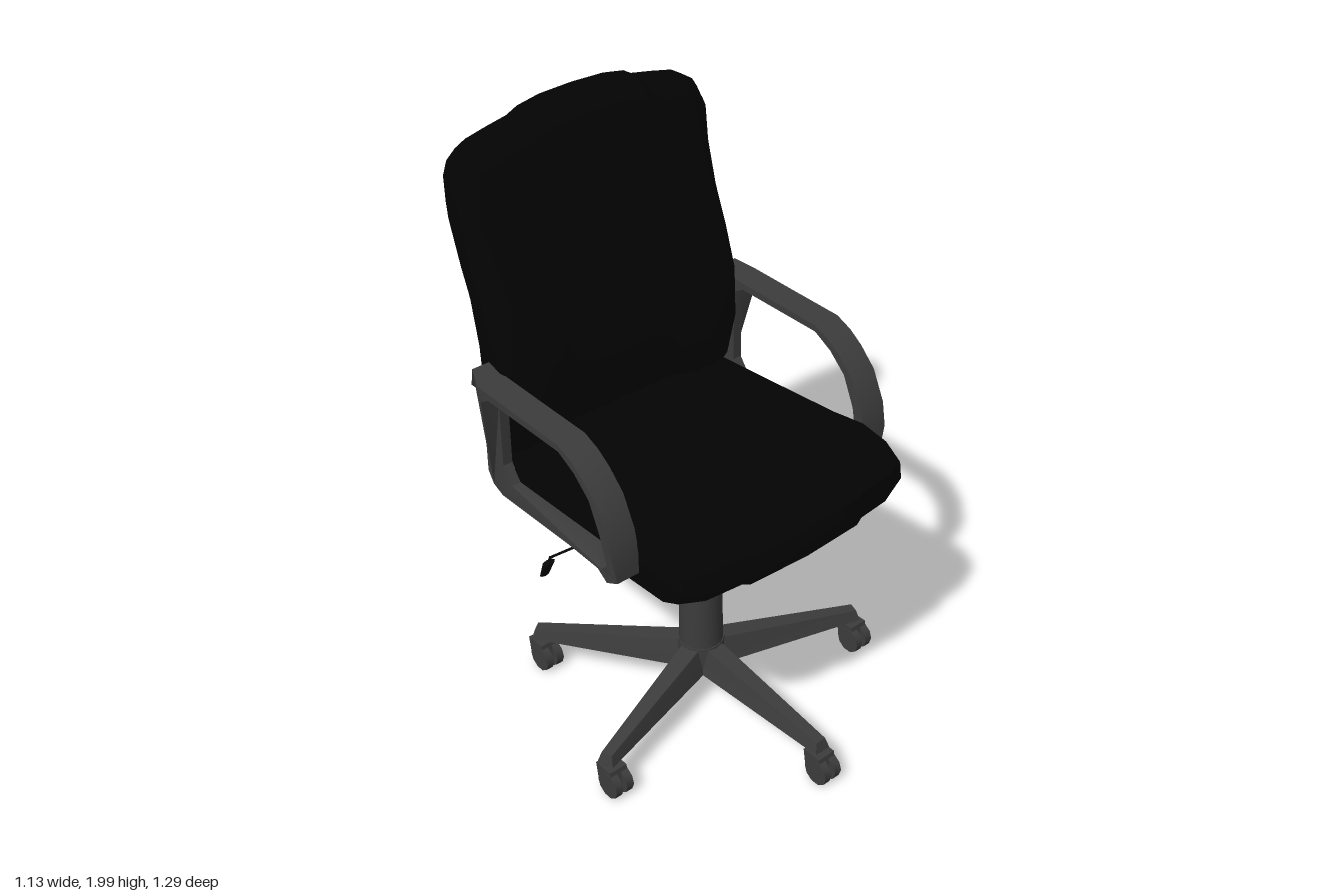
import * as THREE from 'three';
import { toCreasedNormals } from 'three/addons/utils/BufferGeometryUtils.js';

const upholstery = new THREE.MeshStandardMaterial({ name: 'black upholstery', color: 0x030303 });
const plastic = new THREE.MeshStandardMaterial({ name: 'dark grey plastic', color: 0x3c3c3c });
const metal = new THREE.MeshStandardMaterial({ name: 'black metal', color: 0x080808 });

function add(parent, name, geometry, material, x = 0, y = 0, z = 0) {
  const mesh = new THREE.Mesh(geometry, material);
  mesh.name = name;
  mesh.position.set(x, y, z);
  parent.add(mesh);
  return mesh;
}

// Move every vertex of a geometry by a rule, then refresh its normals
function reshape(geometry, rule, crease = 0.6) {
  const p = geometry.attributes.position;
  const v = new THREE.Vector3();
  for (let i = 0; i < p.count; i++) {
    rule(v.fromBufferAttribute(p, i));
    p.setXYZ(i, v.x, v.y, v.z);
  }
  geometry.computeVertexNormals();
  return toCreasedNormals(geometry, crease);
}

// Cushion: a [z, y] outline swept along x. Opposite outline points are pulled
// together by "fullness"; "drop" and "recess" shape it through the given rule.
function cushion(outline, halfSections, trim) {
  const sections = [
    ...halfSections.map(([x, ...rest]) => [-x, ...rest]),
    ...halfSections.slice(0, -1).reverse(),
  ];
  const n = outline.length, pos = [], idx = [];
  for (const [x, fullness, drop, recess] of sections) {
    outline.forEach((p, j) => {
      const q = outline[n - 1 - j];
      const z = THREE.MathUtils.lerp((p[0] + q[0]) / 2, p[0], fullness);
      const y = THREE.MathUtils.lerp((p[1] + q[1]) / 2, p[1], fullness);
      const [tz, ty] = trim(z, y, drop, recess);
      pos.push(x, ty, tz);
    });
  }
  const last = (sections.length - 1) * n;
  for (let s = 0; s < last; s += n) {
    for (let j = 0; j < n; j++) {
      const a = s + j, b = s + (j + 1) % n;
      idx.push(a, b, b + n, a, b + n, a + n);
    }
  }
  for (let j = 0; j < n / 2 - 1; j++) {
    const a = j, b = j + 1, c = n - 2 - j, d = n - 1 - j;
    idx.push(last + a, last + b, last + c, last + a, last + c, last + d);
    idx.push(a, c, b, a, d, c);
  }
  const g = new THREE.BufferGeometry();
  g.setAttribute('position', new THREE.Float32BufferAttribute(pos, 3));
  g.setIndex(idx);
  return toCreasedNormals(g, 0.7);
}

// Cylinder between two points
function rod(parent, name, from, to, r0, r1, material, sides = 10) {
  const a = new THREE.Vector3(...from), b = new THREE.Vector3(...to);
  const dir = b.clone().sub(a);
  const mesh = add(parent, name, toCreasedNormals(new THREE.CylinderGeometry(r1, r0, dir.length(), sides), 0.8), material);
  mesh.position.copy(a).add(b).multiplyScalar(0.5);
  mesh.quaternion.setFromUnitVectors(new THREE.Vector3(0, 1, 0), dir.normalize());
  return mesh;
}

const seatOutline = [
  [0.51, 0.885], [0.49, 0.84], [0.42, 0.805], [0.2, 0.8], [-0.1, 0.8], [-0.41, 0.8], [-0.44, 0.84],
  [-0.45, 0.9], [-0.42, 0.955], [-0.1, 0.98], [0.15, 1.0], [0.3, 1.02], [0.43, 1.0], [0.5, 0.95],
];
const backOutline = [
  [-0.52, 2], [-0.46, 1.95], [-0.445, 1.79], [-0.41, 1.61], [-0.36, 1.45],
  [-0.31, 1.31], [-0.303, 1.13], [-0.35, 0.97], [-0.43, 0.89],
  [-0.49, 0.89], [-0.51, 0.97], [-0.515, 1.15], [-0.525, 1.3], [-0.55, 1.45],
  [-0.59, 1.62], [-0.64, 1.85], [-0.64, 1.95], [-0.58, 2],
];
// Side loop of an armrest as [z, y]; the opening runs the other way round
const armOuter = [
  [0.265, 0.95], [0.248, 1.03], [0.2, 1.13], [0.14, 1.19], [0.09, 1.225], [0.03, 1.25], [-0.18, 1.255],
  [-0.36, 1.26], [-0.425, 1.28], [-0.435, 1.22], [-0.435, 1.18], [-0.435, 0.89], [-0.41, 0.85], [-0.365, 0.83],
  [0.1, 0.83], [0.19, 0.83], [0.265, 0.88],
];
const armOpening = [
  [0.2, 0.9], [0.1, 0.897], [-0.31, 0.895], [-0.35, 0.95], [-0.35, 1.18], [-0.35, 1.21], [-0.31, 1.235],
  [0.03, 1.228], [0.1, 1.19], [0.165, 1.13], [0.21, 1.03], [0.23, 0.93],
];

function armrest(side) {
  const toV2 = (list) => list.map(([z, y]) => new THREE.Vector2(-z, y));
  const shape = new THREE.Shape(toV2(armOuter));
  shape.holes.push(new THREE.Path(toV2(armOpening)));
  const g = new THREE.ExtrudeGeometry(shape, { depth: 1, bevelEnabled: false });
  g.rotateY(Math.PI / 2);
  return reshape(g, (v) => {
    // Wide padded bow, tapering at its foot, with a slim rear upright and lower rail
    let outer = 0.558 - 0.035 * Math.max(0, (1.05 - v.y) / 0.22) ** 3;
    const slim = (v.z < -0.3 && v.y < 1.2) || (v.z < 0.15 && v.y < 0.91);
    if (slim) outer = 0.494;
    else if (v.z < -0.4) outer = 0.53;
    v.x = side > 0
      ? THREE.MathUtils.lerp(0.46, outer, v.x)
      : THREE.MathUtils.lerp(-outer, -0.46, v.x);
  });
}

function caster(parent, x, z) {
  const c = new THREE.Group();
  c.name = 'caster';
  c.position.set(x, 0, z);
  parent.add(c);
  add(c, 'casterStem', new THREE.CylinderGeometry(0.022, 0.022, 0.06, 8), plastic, 0, 0.105, -0.03);
  const hood = new THREE.BoxGeometry(0.066, 0.06, 0.07);
  add(c, 'casterHood', reshape(hood, (v) => { if (v.y > 0) v.z -= 0.01; }), plastic, 0, 0.083, -0.012);
  for (const s of [-1, 1]) {
    const wheel = new THREE.CylinderGeometry(0.047, 0.047, 0.027, 10).rotateZ(Math.PI / 2);
    add(c, 'casterWheel', toCreasedNormals(wheel, 0.8), plastic, s * 0.021, 0.053, 0);
  }
}

export function createModel() {
  const chair = new THREE.Group();
  chair.name = 'officeChair';

  // Seat and backrest cushions
  add(chair, 'seat', cushion(seatOutline,
    [[0.462, 0.6, 0.1], [0.447, 0.87, 0.065], [0.37, 0.97, 0.035], [0.24, 1, 0.025], [0.22, 1.01, 0.01], [0, 1.02, 0]],
    (z, y, d) => [z - d * THREE.MathUtils.clamp((z - 0.1) / 0.35, 0, 1), y]), upholstery);
  add(chair, 'backrest', cushion(backOutline,
    [[0.468, 0.4, 0.17, 0], [0.455, 0.68, 0.125, 0], [0.43, 0.85, 0.09, 0], [0.39, 0.97, 0.067, 0],
      [0.31, 1, 0.05, 0.005], [0.23, 1, 0.035, 0.035], [0.2, 0.99, 0.018, 0.04], [0.12, 0.99, 0.004, 0.04], [0, 0.99, 0, 0.04]],
    (z, y, drop, recess) => {
      // Hollow the middle of the lumbar roll, on the front only
      const hollow = z > -0.47 ? recess * THREE.MathUtils.clamp((1.62 - y) / 0.2, 0, 1) : 0;
      return [z - hollow, y - drop * THREE.MathUtils.clamp((y - 1.45) / 0.5, 0, 1)];
    }), upholstery);

  // Armrests
  add(chair, 'leftArmrest', armrest(1), plastic);
  add(chair, 'rightArmrest', armrest(-1), plastic);

  // Tilt mechanism under the seat
  const tilt = new THREE.Group();
  tilt.name = 'tiltMechanism';
  chair.add(tilt);
  add(tilt, 'housing', reshape(new THREE.BoxGeometry(0.2, 0.06, 0.34), (v) => {
    if (v.y < 0) { v.x *= 0.6; v.z *= 0.45; }
  }), metal, 0, 0.753, 0);
  add(tilt, 'mountSpine', new THREE.BoxGeometry(0.14, 0.02, 0.5), metal, 0, 0.792, 0.03);
  for (const z of [0.24, -0.19]) {
    add(tilt, 'mountBar', new THREE.BoxGeometry(0.38, 0.02, 0.08), metal, 0, 0.79, z);
  }
  rod(tilt, 'tensionKnob', [0, 0.735, 0.165], [0, 0.612, 0.205], 0.04, 0.036, plastic);

  // Height lever with its paddle
  rod(tilt, 'leverBlade', [0, 0.765, -0.04], [-0.28, 0.758, -0.07], 0.01, 0.007, metal, 6);
  rod(tilt, 'leverRod', [-0.28, 0.758, -0.07], [-0.515, 0.75, -0.1], 0.004, 0.004, metal, 6);
  rod(tilt, 'leverDrop', [-0.515, 0.752, -0.1], [-0.515, 0.71, -0.115], 0.004, 0.004, metal, 6);
  const paddle = rod(tilt, 'leverPaddle', [-0.515, 0.725, -0.11], [-0.515, 0.665, -0.135], 0.024, 0.018, metal, 8);
  paddle.scale.z = 0.4;

  // Telescopic column and five-legged base
  const base = new THREE.Group();
  base.name = 'base';
  base.position.z = 0.01;
  chair.add(base);
  const column = [[0, 0.2], [0.074, 0.2], [0.074, 0.23], [0.07, 0.45], [0.063, 0.45], [0.063, 0.56],
    [0.05, 0.56], [0.05, 0.67], [0.034, 0.67], [0.034, 0.74], [0, 0.74]].map(([r, y]) => new THREE.Vector2(r, y));
  add(base, 'column', toCreasedNormals(new THREE.LatheGeometry(column, 16), 0.6), plastic);
  add(base, 'hub', toCreasedNormals(new THREE.CylinderGeometry(0.078, 0.08, 0.105, 15), 0.6), plastic, 0, 0.1725, 0);
  for (let i = 0; i < 5; i++) {
    const angle = i * Math.PI * 2 / 5;
    const leg = reshape(new THREE.BoxGeometry(1, 1, 1), (v) => {
      const t = v.z + 0.5, top = v.y > 0;
      v.x *= THREE.MathUtils.lerp(0.1, 0.058, t) * (top ? 0.65 : 1);
      v.y = top ? THREE.MathUtils.lerp(0.222, 0.157, t) : 0.12;
      v.z = THREE.MathUtils.lerp(0.04, top ? 0.575 : 0.585, t);
    });
    add(base, 'leg', leg, plastic).rotation.y = angle;
    caster(base, Math.sin(angle) * 0.56, Math.cos(angle) * 0.56 + 0.03);
  }
  return chair;
}
